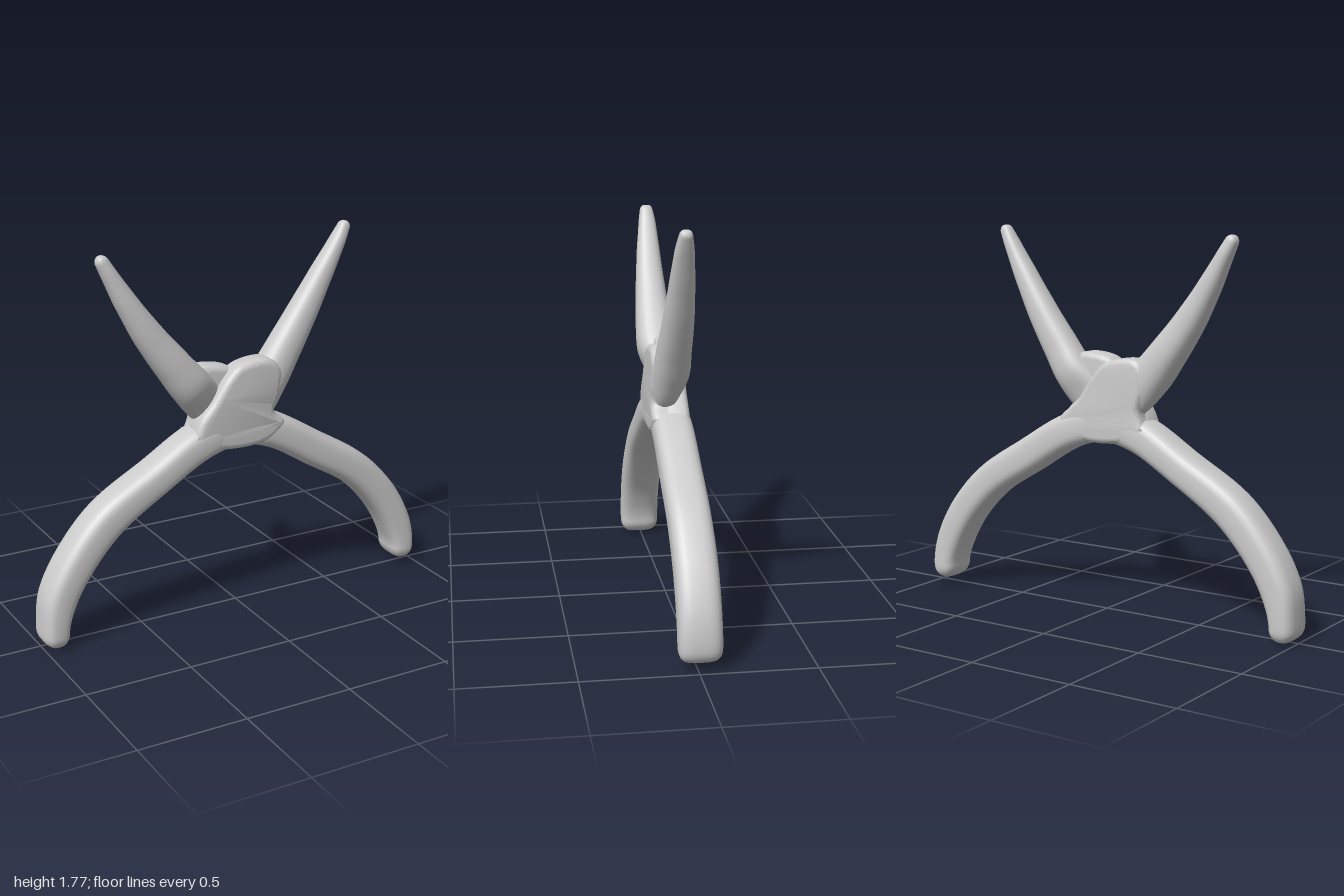
import * as THREE from 'three';
import { toCreasedNormals } from 'three/addons/utils/BufferGeometryUtils.js';

const material = new THREE.MeshStandardMaterial({ color: 0xcccccc });

// Sweep a rounded-box section along a flat path.
// Each station is [x, y, z, half width, half depth]; `power` squares the section.
function sweep(name, stations, power, steps = 72, sides = 28) {
  const path = new THREE.CatmullRomCurve3(stations.map(([x, y, z]) => new THREE.Vector3(x, y, z)), false, 'centripetal');
  const size = new THREE.CatmullRomCurve3(stations.map(([, , , w, d]) => new THREE.Vector3(w, d, 0)), false, 'catmullrom', 0.4);
  const length = path.getLength();
  const cap = stations[0][3];
  const positions = [], index = [];
  const bend = (v) => Math.sign(v) * Math.abs(v) ** (2 / power);
  for (let i = 0; i <= steps; i++) {
    const u = 0.5 - 0.5 * Math.cos((Math.PI * i) / steps);
    const t = path.getUtoTmapping(u);
    const p = path.getPoint(t), s = size.getPoint(t), tan = path.getTangent(t);
    const n = new THREE.Vector3(-tan.y, tan.x, 0).normalize();
    // round off both ends
    const e = Math.min(1, Math.min(u, 1 - u) * length / cap);
    const f = Math.sqrt(Math.max(0, 1 - (1 - e) ** 2));
    for (let j = 0; j < sides; j++) {
      const a = (j / sides) * Math.PI * 2;
      const w = bend(Math.cos(a)) * s.x * f, d = bend(Math.sin(a)) * s.y * Math.sqrt(f);
      positions.push(p.x + n.x * w, p.y + n.y * w, p.z + d);
    }
  }
  for (let i = 0; i < steps; i++) {
    for (let j = 0; j < sides; j++) {
      const a = i * sides + j, b = i * sides + (j + 1) % sides;
      index.push(a, b, a + sides, b, b + sides, a + sides);
    }
  }
  const geometry = new THREE.BufferGeometry();
  geometry.setAttribute('position', new THREE.Float32BufferAttribute(positions, 3));
  geometry.setIndex(index);
  geometry.computeVertexNormals();
  const mesh = new THREE.Mesh(geometry, material);
  mesh.name = name;
  return mesh;
}

// One half of the lap joint: a soft-edged plate from z0 to z1.
function plate(name, outline, z0, z1) {
  const bevel = 0.03;
  const shape = new THREE.Shape();
  shape.moveTo(...outline[0]);
  shape.splineThru([...outline.slice(1), outline[0]].map(([x, y]) => new THREE.Vector2(x, y)));
  const geometry = new THREE.ExtrudeGeometry(shape, {
    depth: z1 - z0 - 2 * bevel, bevelSize: bevel, bevelThickness: bevel,
    bevelOffset: -bevel, bevelSegments: 5, curveSegments: 60,
  });
  geometry.translate(0, 0, z0 + bevel);
  const mesh = new THREE.Mesh(toCreasedNormals(geometry, 0.8), material);
  mesh.name = name;
  return mesh;
}

export function createModel() {
  const group = new THREE.Group();
  group.name = 'pliers';

  // Handles, from the grip end up to the joint
  group.add(sweep('rightHandle', [
    [-0.94, 0.0, 0.005, 0.062, 0.093], [-0.938, 0.1, 0.005, 0.064, 0.096],
    [-0.91, 0.225, 0.005, 0.078, 0.096], [-0.83, 0.37, 0.005, 0.083, 0.096],
    [-0.67, 0.55, 0.003, 0.086, 0.094], [-0.41, 0.715, 0.003, 0.079, 0.093],
    [-0.2, 0.835, 0.003, 0.082, 0.09], [0.02, 0.9, 0.0, 0.09, 0.08],
  ], 3));
  group.add(sweep('leftHandle', [
    [0.922, 0.028, -0.012, 0.062, 0.093], [0.93, 0.11, -0.012, 0.066, 0.094],
    [0.895, 0.235, -0.012, 0.076, 0.094], [0.8, 0.395, -0.012, 0.081, 0.094],
    [0.65, 0.55, -0.01, 0.083, 0.093], [0.42, 0.695, -0.008, 0.084, 0.092],
    [0.2, 0.825, -0.006, 0.083, 0.09], [-0.02, 0.9, 0.0, 0.09, 0.08],
  ], 3));

  // Tapered jaws, from the tip down to the joint
  group.add(sweep('rightJaw', [
    [-0.66, 1.747, 0, 0.028, 0.028], [-0.615, 1.665, 0, 0.036, 0.042],
    [-0.53, 1.515, 0.005, 0.053, 0.058], [-0.43, 1.36, 0.008, 0.07, 0.072],
    [-0.32, 1.215, 0.008, 0.084, 0.086], [-0.235, 1.11, 0.005, 0.095, 0.088],
    [-0.14, 1.01, -0.02, 0.1, 0.062], [-0.03, 0.92, -0.03, 0.07, 0.05],
  ], 2.3));
  group.add(sweep('leftJaw', [
    [0.582, 1.772, -0.005, 0.026, 0.026], [0.533, 1.68, -0.005, 0.036, 0.042],
    [0.445, 1.525, -0.008, 0.054, 0.056], [0.345, 1.355, -0.008, 0.071, 0.068],
    [0.255, 1.215, -0.004, 0.083, 0.076], [0.18, 1.1, 0.0, 0.092, 0.082],
    [0.1, 1.0, 0.02, 0.1, 0.065], [0.02, 0.92, 0.03, 0.07, 0.05],
  ], 2.3));

  // Lap joint: the front plate joins the left jaw, the back plate the right one
  group.add(plate('frontJointPlate', [
    [-0.25, 0.86], [-0.215, 0.95], [-0.15, 1.03], [-0.07, 1.14], [0.0, 1.19],
    [0.13, 1.2], [0.2, 1.14], [0.19, 1.03], [0.165, 0.95], [0.22, 0.88],
    [0.11, 0.8], [-0.11, 0.8],
  ], -0.03, 0.088));
  group.add(plate('backJointPlate', [
    [-0.25, 0.86], [-0.215, 0.95], [-0.24, 1.04], [-0.24, 1.14], [-0.18, 1.19],
    [-0.04, 1.17], [0.04, 1.1], [0.11, 1.0], [0.165, 0.95], [0.22, 0.88],
    [0.11, 0.8], [-0.11, 0.8],
  ], -0.085, 0.03));

  return group;
}
